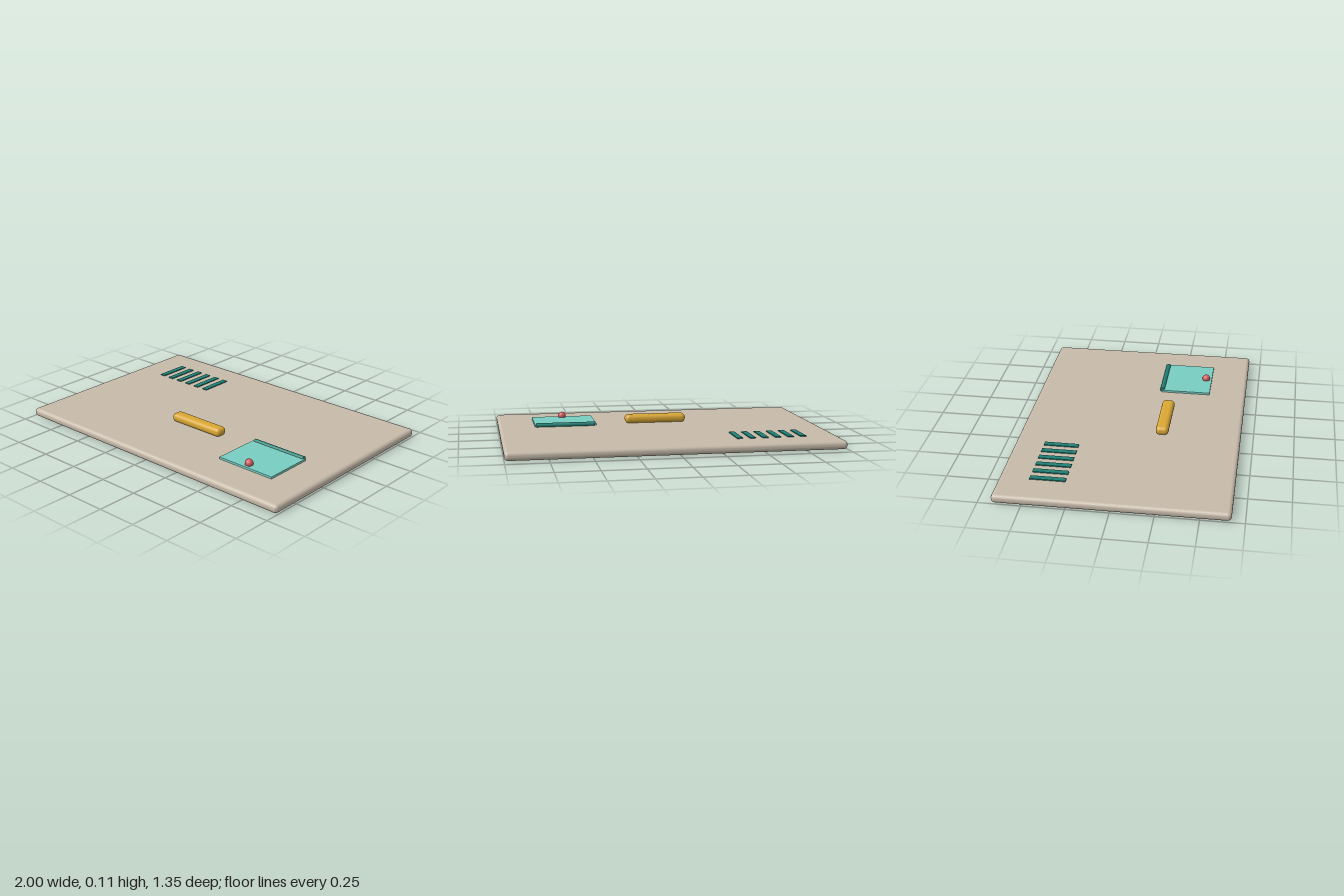
import * as THREE from 'three';
import { RoundedBoxGeometry } from 'three/addons/geometries/RoundedBoxGeometry.js';

const material = (name, color) => {
  const m = new THREE.MeshStandardMaterial({ color });
  m.name = name;
  return m;
};

export function createModel() {
  const beige = material('beige', 0xc6baa9);
  const gold = material('gold', 0xd8a633);
  const aqua = material('aqua', 0x78cdc1);
  const teal = material('darkTeal', 0x1f7f74);
  const red = material('red', 0xd65c5e);

  const model = new THREE.Group();
  model.name = 'panel';
  const add = (name, geometry, mat, x, y, z) => {
    const mesh = new THREE.Mesh(geometry, mat);
    mesh.name = name;
    mesh.position.set(x, y, z);
    model.add(mesh);
    return mesh;
  };

  // Flat slab with rounded edges
  add('slab', new RoundedBoxGeometry(2, 0.052, 1.348, 5, 0.023), beige, 0, 0.026, 0);

  // Grab handle
  add('handle', new RoundedBoxGeometry(0.39, 0.055, 0.078, 5, 0.025), gold, 0, 0.078, 0.195);

  // Hinged flap with its hinge rod and knob
  add('flap', new THREE.BoxGeometry(0.388, 0.014, 0.312), aqua, 0.582, 0.058, 0.284);
  const hinge = add('hinge', new THREE.CylinderGeometry(0.015, 0.015, 0.368, 20), teal, 0.582, 0.061, 0.129);
  hinge.rotation.z = Math.PI / 2;
  add('knob', new THREE.SphereGeometry(0.025, 24, 16), red, 0.582, 0.076, 0.403);

  // Row of vent slats
  const slat = new THREE.BoxGeometry(0.035, 0.012, 0.21);
  for (let i = 0; i < 6; i++) {
    add('ventSlat', slat, teal, -0.782 + i * 0.078, 0.052, -0.389);
  }

  return model;
}
